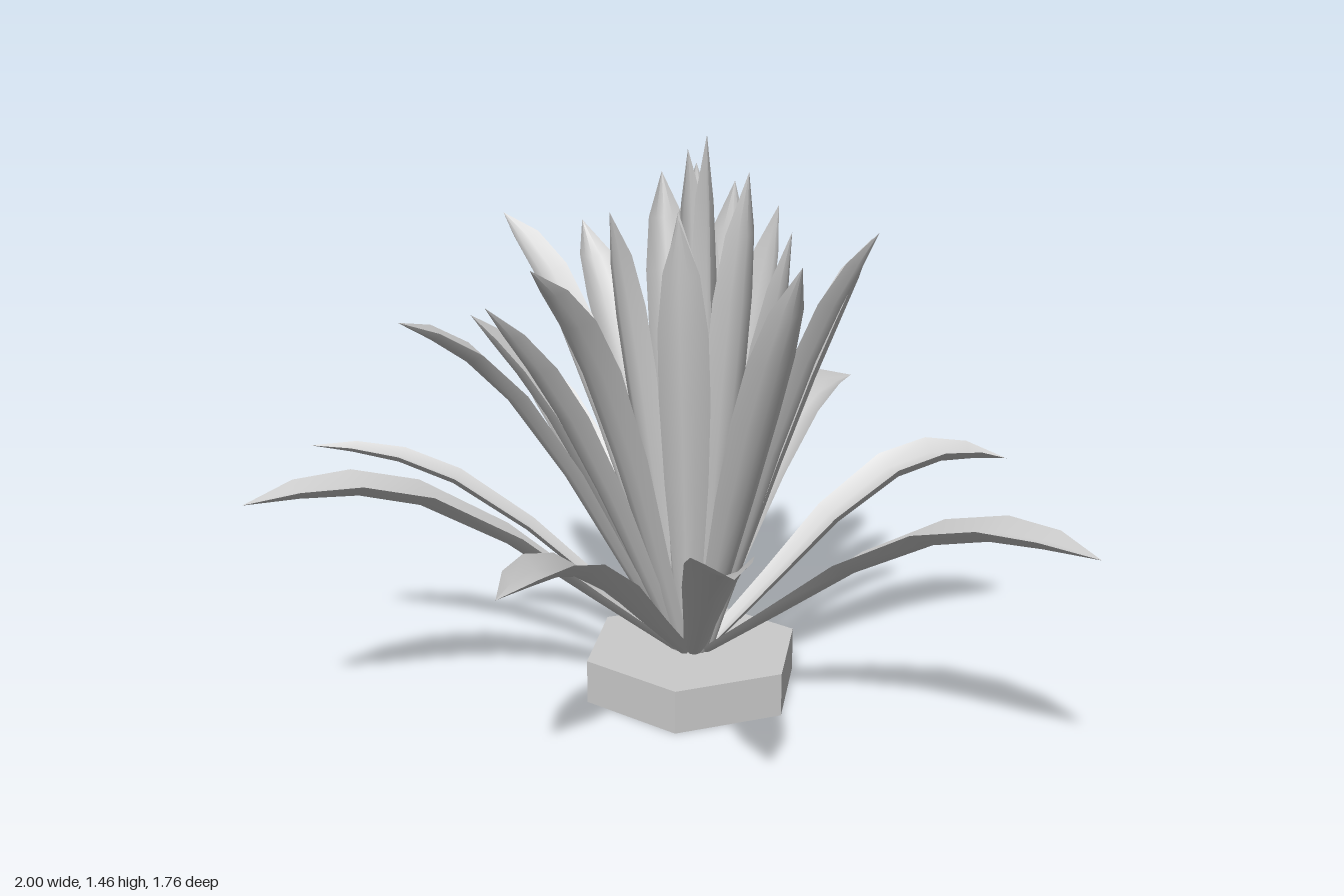
import * as THREE from 'three';

const CX = 0.14, CZ = -0.14;
const STATIONS = [0, 0.2, 0.4, 0.6, 0.75, 0.88, 1];
const WIDTHS = [0.38, 0.6, 0.86, 1, 0.97, 0.7, 0];
const ACROSS = [-1, -0.5, 0, 0.5, 1];

// A channelled blade from the crown to its tip; arch lifts the spine, roll turns it sideways
function leafGeometry(tip, width, arch, roll) {
  const out = new THREE.Vector3(tip.x - CX, 0, tip.z - CZ).normalize();
  const level = new THREE.Vector3(out.z, 0, -out.x);
  const root = new THREE.Vector3(CX, 0.12, CZ).addScaledVector(out, 0.05);
  const spine = (t) => {
    const p = root.clone().lerp(tip, t);
    p.y += arch * Math.sin(Math.PI * t ** 1.25);
    return p;
  };
  const pos = [], index = [];
  const n = ACROSS.length;
  STATIONS.forEach((t, i) => {
    const p = spine(t);
    const tangent = spine(Math.min(t + 0.05, 1)).sub(spine(Math.max(t - 0.05, 0))).normalize();
    const side = level.clone().applyAxisAngle(tangent, roll);
    const upper = new THREE.Vector3().crossVectors(tangent, side).normalize();
    const half = width * WIDTHS[i] / 2;
    ACROSS.forEach((a) => {
      const v = p.clone().addScaledVector(side, a * half).addScaledVector(upper, (a * a - 0.5) * half * 0.6);
      pos.push(v.x, v.y, v.z);
    });
    if (i === 0) return;
    for (let j = 0; j < n - 1; j++) {
      const a = (i - 1) * n + j, b = a + n;
      // The last row meets in a point, so one triangle per strip is enough
      if (i === STATIONS.length - 1) index.push(a, a + 1, b);
      else index.push(a, a + 1, b + 1, a, b + 1, b);
    }
  });
  const g = new THREE.BufferGeometry();
  g.setAttribute('position', new THREE.Float32BufferAttribute(pos, 3));
  g.setIndex(index);
  g.computeVertexNormals();
  return g;
}

// Each leaf: tip x, y, z, arch height, then optional roll and width factor
const OUTER = [
  [-1, 0.655, -0.14, 0.18], [1, 0.555, -0.055, 0.175], [0.86, 0.62, -0.71, 0.18],
  [0.69, 0.655, 0.88, 0.16], [-0.16, 0.715, 0.83, 0.1], [-0.54, 0.55, 0.38, 0.14],
  [-0.75, 0.64, -0.57, 0.13, 0, 0.6], [-0.11, 0.775, -0.88, 0.04],
];
const MIDDLE = [
  [0.09, 1.11, -0.85, 0.08], [-0.18, 1.18, -0.7, 0.16], [0.62, 1.165, -0.13, 0.08],
  [-0.61, 1.06, -0.14, 0.17], [-0.45, 1.125, 0.04, 0.1], [-0.38, 1.235, 0.17, 0.16],
  [-0.37, 1.0, -0.37, 0.1], [0.46, 1.265, 0.22, 0.13], [0.18, 1.245, 0.4, 0.03],
];
const INNER = [
  [0.17, 1.455, -0.14, 0], [0.2, 1.395, 0.05, 0], [0.2, 1.385, -0.34, 0.04, 0.9],
  [0.28, 1.32, -0.48, 0.04], [0.21, 1.29, -0.55, 0.06], [0.36, 1.28, -0.41, 0.04],
  [-0.06, 1.27, -0.2, 0.04, -0.6], [0.03, 1.29, 0.03, 0], [0.3, 1.25, 0.08, 0],
  [0.4, 1.25, -0.22, 0.04], [0.08, 1.28, -0.1, 0],
];

export function createModel() {
  const model = new THREE.Group();
  model.name = 'plant';
  const leafMat = new THREE.MeshStandardMaterial({ color: 0xcccccc, side: THREE.DoubleSide });

  // Hexagonal base with a corner towards each side
  const base = new THREE.Mesh(
    new THREE.CylinderGeometry(0.29, 0.29, 0.115, 6).rotateY(Math.PI / 2),
    new THREE.MeshStandardMaterial({ color: 0xcccccc, flatShading: true }));
  base.position.set(CX, 0.0575, -0.147);
  base.name = 'base';
  model.add(base);

  // Three rings of leaves, the outer ones lowest
  const rings = [['outerLeaf', OUTER, 0.145], ['middleLeaf', MIDDLE, 0.13], ['innerLeaf', INNER, 0.13]];
  for (const [name, leaves, width] of rings) {
    const ring = new THREE.Group();
    ring.name = name + 'Ring';
    for (const [x, y, z, arch, roll = 0, factor = 1] of leaves) {
      const leaf = new THREE.Mesh(leafGeometry(new THREE.Vector3(x, y, z), width * factor, arch, roll), leafMat);
      leaf.name = name;
      ring.add(leaf);
    }
    model.add(ring);
  }
  return model;
}
